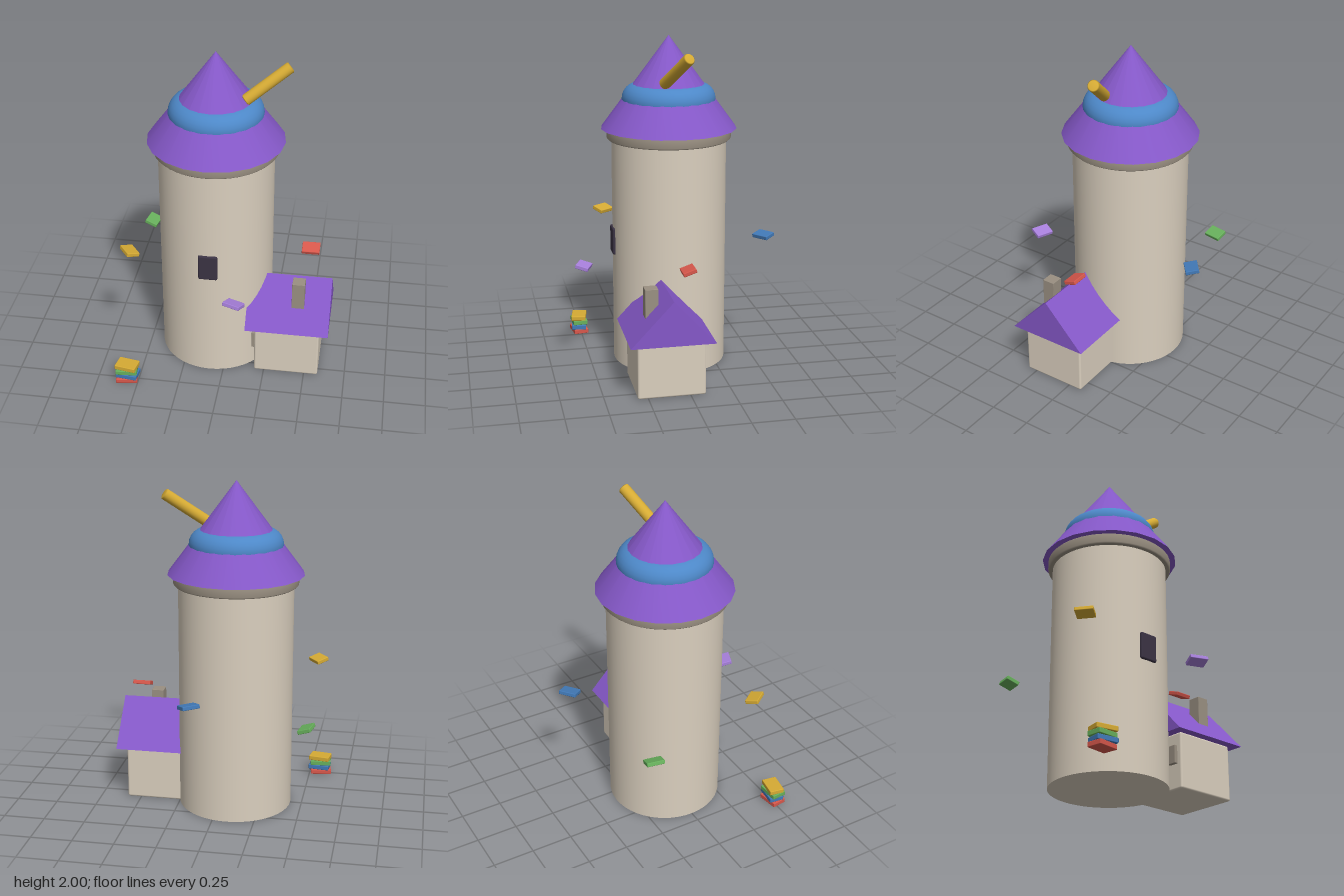
import * as THREE from 'three';
import { RoundedBoxGeometry } from 'three/addons/geometries/RoundedBoxGeometry.js';

const paint = (name, color) => {
  const m = new THREE.MeshStandardMaterial({ color });
  m.name = name;
  return m;
};

export function createModel() {
  const wall = paint('wall stone', 0xdacfbe);
  const trim = paint('trim stone', 0x9a9082);
  const purple = paint('roof purple', 0x8558c8);
  const bandBlue = paint('band blue', 0x4d88c8);
  const gold = paint('gold', 0xd6ab34);
  const dark = paint('window dark', 0x3b3344);
  const red = paint('book red', 0xd8584c);
  const blue = paint('book blue', 0x427ab8);
  const green = paint('book green', 0x68b05c);
  const lilac = paint('book lilac', 0xa880dc);

  const model = new THREE.Group();
  const add = (name, geo, mat, x = 0, y = 0, z = 0, parent = model) => {
    const mesh = new THREE.Mesh(geo, mat);
    mesh.name = name;
    mesh.position.set(x, y, z);
    parent.add(mesh);
    return mesh;
  };
  const box = (w, h, d, r = 0.004) => new RoundedBoxGeometry(w, h, d, 2, r);

  // Round tower with a stone collar, pointed roof and swelling band
  const tower = new THREE.Group();
  tower.name = 'tower';
  tower.position.x = -0.085;
  model.add(tower);
  add('towerWall', new THREE.CylinderGeometry(0.345, 0.345, 1.4, 48), wall, 0, 0.7, 0, tower);
  const collar = [[0, 1.385], [0.365, 1.385], [0.373, 1.393], [0.373, 1.442], [0.365, 1.45], [0, 1.45]];
  add('collar', new THREE.LatheGeometry(collar.map(p => new THREE.Vector2(...p)), 48), trim, 0, 0, 0, tower);
  add('towerRoof', new THREE.ConeGeometry(0.408, 0.55, 20), purple, 0, 1.725, 0, tower);
  const band = add('roofBand', new THREE.TorusGeometry(0.19, 0.09, 24, 48), bandBlue, 0, 1.625, 0, tower);
  band.rotation.x = Math.PI / 2;
  add('window', box(0.115, 0.165, 0.04, 0.01), dark, -0.003, 0.764, 0.335, tower);

  // Telescope pointing out of the roof
  const from = new THREE.Vector3(0.09, 1.735, 0.06), to = new THREE.Vector3(0.337, 1.916, -0.037);
  const axis = to.clone().sub(from), len = axis.length(), r = 0.034;
  const tube = [[0, 0], [r - 0.006, 0], [r, 0.006], [r, len - 0.006], [r - 0.006, len], [0, len]];
  const telescope = add('telescope', new THREE.LatheGeometry(tube.map(p => new THREE.Vector2(...p)), 24), gold, from.x, from.y, from.z);
  telescope.quaternion.setFromUnitVectors(new THREE.Vector3(0, 1, 0), axis.normalize());

  // Small side house with a gabled roof
  add('houseWall', box(0.395, 0.335, 0.4, 0.012), wall, 0.387, 0.1675, 0.111);
  add('houseDoorway', box(0.04, 0.11, 0.06), trim, 0.19, 0.205, 0.25);
  const gable = new THREE.Shape([[-0.249, 0], [0.249, 0], [0, 0.266]].map(p => new THREE.Vector2(...p)));
  const roof = new THREE.ExtrudeGeometry(gable, { depth: 0.505, bevelEnabled: false });
  add('houseRoof', roof, purple, 0.135, 0.333, 0.111).rotation.y = Math.PI / 2;
  add('chimney', box(0.076, 0.19, 0.077, 0.002), trim, 0.445, 0.53, 0.21);

  // Books drifting around the tower: colour, position, turn and tilt
  const floating = [
    [red, 0.495, 0.732, 0, 0, 0.33],
    [blue, 0.095, 0.795, -0.55, 38, 0.17],
    [green, -0.555, 0.627, -0.34, 80, 0.33],
    [gold, -0.555, 0.837, 0.34, 127, 0.25],
    [lilac, 0.095, 0.667, 0.55, 158, 0.25],
  ];
  for (const [mat, x, y, z, turn, tilt] of floating) {
    const book = add('floatingBook', box(0.108, 0.024, 0.08), mat, x, y, z);
    book.rotation.set(tilt, THREE.MathUtils.degToRad(turn), 0, 'YXZ');
  }

  // Stack of books on the ground
  const stack = [[red, 8, -0.571], [blue, -7, -0.564], [green, 4, -0.57], [gold, -10, -0.567]];
  stack.forEach(([mat, turn, x], i) => {
    const book = add('stackedBook', box(0.13, 0.029, 0.092), mat, x, 0.015 + i * 0.0305, 0.51);
    book.rotation.y = THREE.MathUtils.degToRad(turn);
  });

  return model;
}
